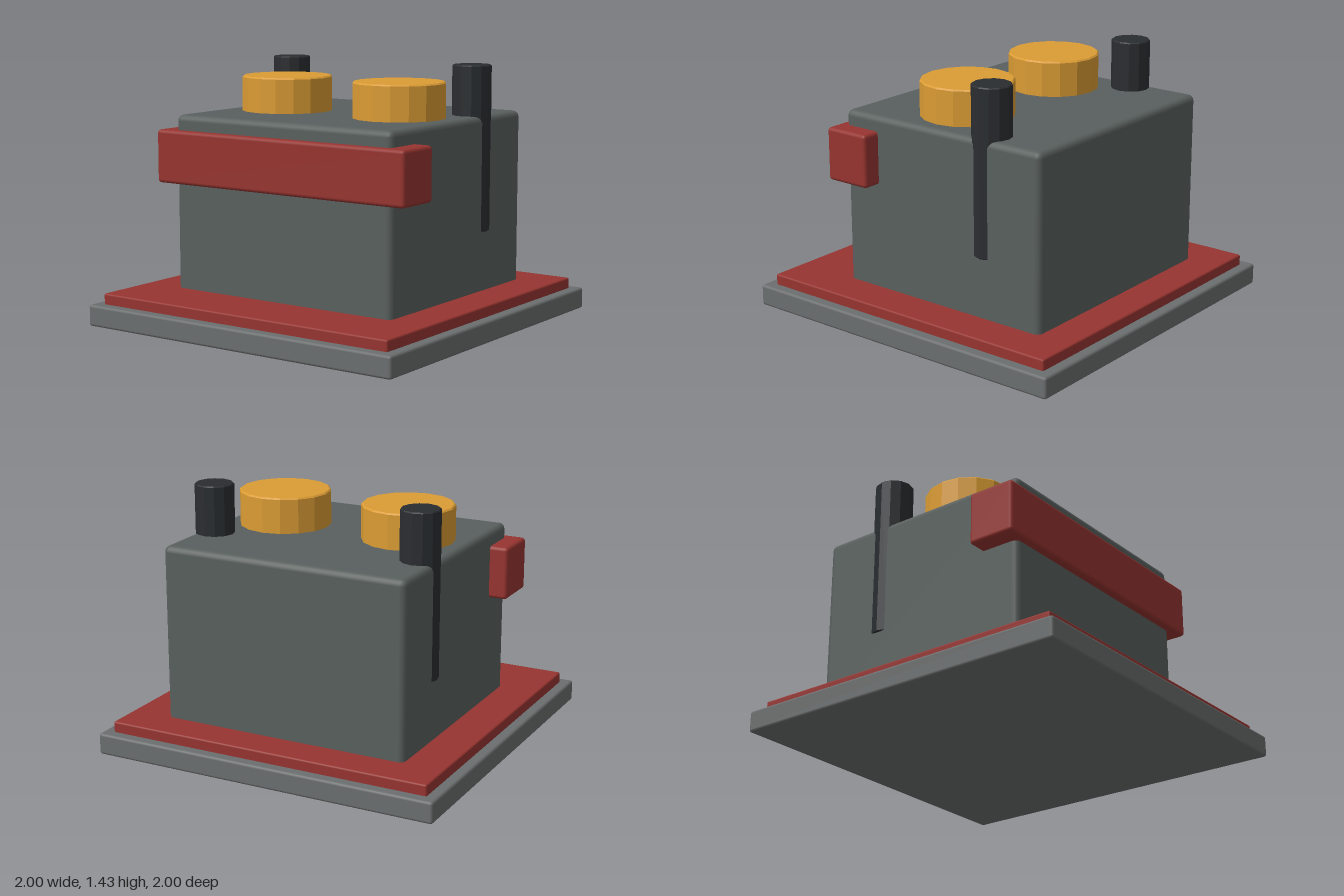
import * as THREE from 'three';
import { RoundedBoxGeometry } from 'three/addons/geometries/RoundedBoxGeometry.js';

const paint = (color, flatShading = false) => new THREE.MeshStandardMaterial({ color, flatShading });

export function createModel() {
  const model = new THREE.Group();
  const grey = paint(0x6b6e6e);
  const slate = paint(0x59605e);
  const red = paint(0x963430);
  const amber = paint(0xdb9c34, true);
  const black = paint(0x2a2d30, true);

  // Box with softened edges, given by its extents
  function block(name, material, [x0, x1], [y0, y1], [z0, z1], radius) {
    const geometry = new RoundedBoxGeometry(x1 - x0, y1 - y0, z1 - z0, 2, radius);
    const mesh = new THREE.Mesh(geometry, material);
    mesh.position.set((x0 + x1) / 2, (y0 + y1) / 2, (z0 + z1) / 2);
    mesh.name = name;
    model.add(mesh);
  }

  // Upright faceted cylinder with a small bevel at both rims
  function post(name, material, x, z, [y0, y1], radius, sides, bevel) {
    const profile = [
      [0, y0], [radius - bevel, y0], [radius, y0 + bevel],
      [radius, y1 - bevel], [radius - bevel, y1], [0, y1],
    ].map(([r, y]) => new THREE.Vector2(r, y));
    const mesh = new THREE.Mesh(new THREE.LatheGeometry(profile, sides), material);
    mesh.position.set(x, 0, z);
    mesh.name = name;
    model.add(mesh);
  }

  // Stepped base
  block('basePlate', grey, [-1, 1], [0, 0.12], [-1, 1], 0.015);
  block('baseInlay', red, [-0.94, 0.94], [0.1, 0.18], [-0.94, 0.94], 0.01);

  // Main housing and the bar across its front
  block('housing', slate, [-0.716, 0.716], [0.12, 1.152], [-0.74, 0.577], 0.035);
  block('frontBar', red, [-0.82, 0.82], [0.77, 1.067], [0.346, 0.62], 0.02);

  // Round caps and rear rods, mirrored left and right
  for (const [side, s] of [['left', 1], ['right', -1]]) {
    post(side + 'Cap', amber, s * 0.38, 0, [1.1, 1.35], 0.256, 16, 0.008);
    post(side + 'Rod', black, s * 0.62, -0.36, [0.51, 1.43], 0.108, 12, 0.006);
  }

  return model;
}
